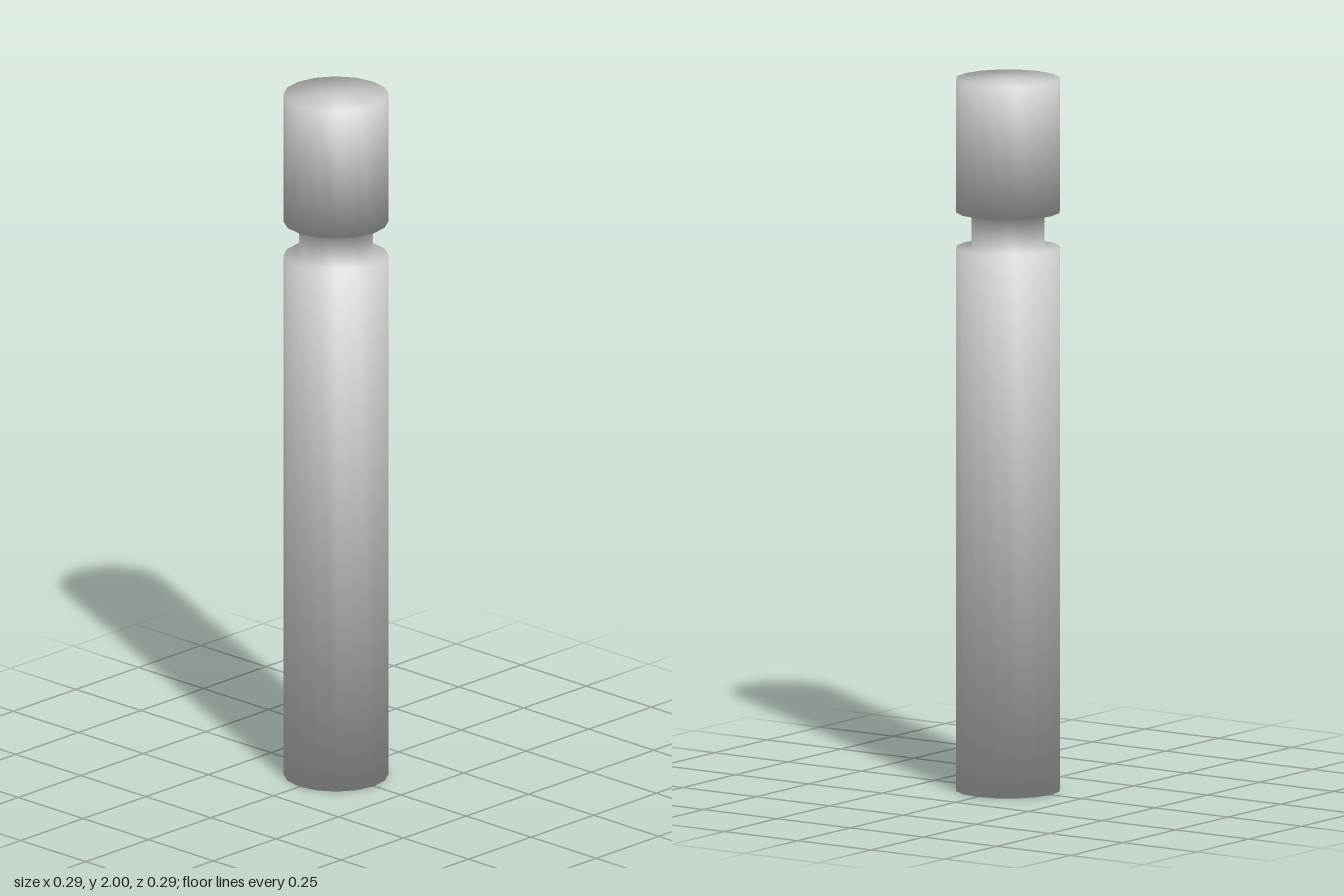
import * as THREE from 'three';

const SIDES = 16;

// Each row: radius, height, and the radial and vertical parts of the smooth normal.
const PROFILE = [
  [0, 0, 0, -1], // base centre
  [0.146, 0, 1, -1], // base rim
  [0.146, 1.525, 1, 1], // shoulder
  [0.103, 1.525, 1, 1], // groove floor, lower edge
  [0.103, 1.627, 1, -1], // groove floor, upper edge
  [0.146, 1.627, 1, -1], // head underside rim
  [0.146, 2, 1, 1], // head top rim
  [0, 2, 0, 1], // top centre
];

// Turned solid whose normals run smoothly over every edge
function turned(profile) {
  const geometry = new THREE.LatheGeometry(
    profile.map(([r, y]) => new THREE.Vector2(r, y)), SIDES);
  const normals = geometry.attributes.normal;
  const n = new THREE.Vector3();
  for (let i = 0; i < normals.count; i++) {
    const [, , out, up] = profile[i % profile.length];
    const angle = Math.floor(i / profile.length) / SIDES * Math.PI * 2;
    n.set(Math.sin(angle) * out, up, Math.cos(angle) * out).normalize();
    normals.setXYZ(i, n.x, n.y, n.z);
  }
  return geometry;
}

export function createModel() {
  const group = new THREE.Group();
  group.name = 'groovedPost';

  // Post with a narrow neck below its head
  const post = new THREE.Mesh(
    turned(PROFILE), new THREE.MeshStandardMaterial({ color: 0xcccccc }));
  post.name = 'post';
  group.add(post);

  return group;
}
